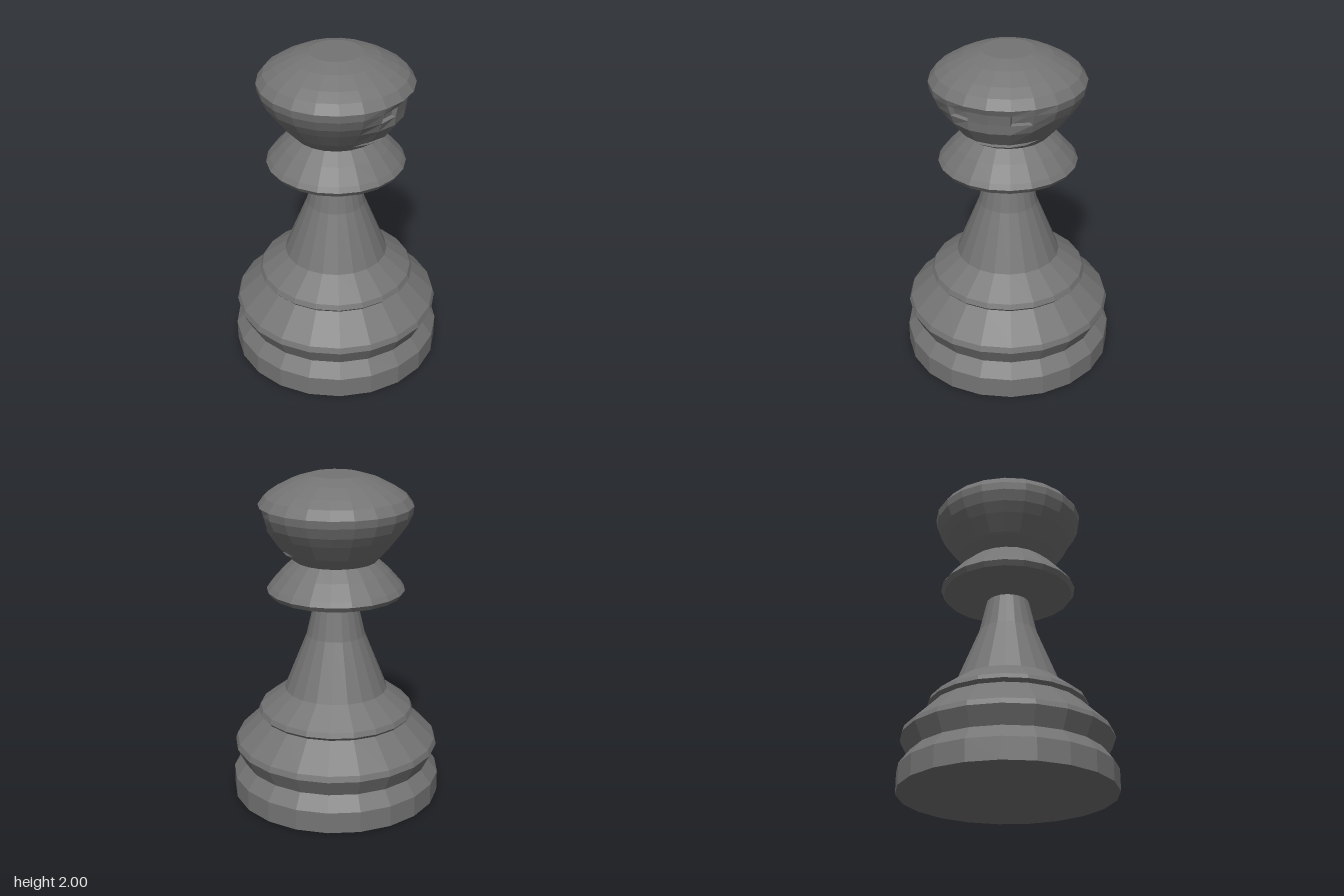
import * as THREE from 'three';

const SIDES = 21;
const STEP = (Math.PI * 2) / SIDES;
const START = Math.PI / 2; // one corner points along +x, the side with the face
const HALF_FACE = 3; // the face covers three segments each way

const dark = new THREE.MeshStandardMaterial({ color: 0x747474, flatShading: true });

function turned(name, profile, first = 0, count = SIDES) {
  const points = profile.map(([r, y]) => new THREE.Vector2(r, y));
  const geometry = new THREE.LatheGeometry(points, count, START + first * STEP, count * STEP);
  const mesh = new THREE.Mesh(geometry, dark);
  mesh.name = name;
  return mesh;
}

// Point on column i of the turned shape
function at(i, r, y) {
  const a = START + i * STEP;
  return new THREE.Vector3(r * Math.sin(a), y, r * Math.cos(a));
}

function quadMesh(name, quads) {
  const positions = [];
  for (const [a, b, c, d] of quads) {
    for (const p of [a, b, c, a, c, d]) positions.push(p.x, p.y, p.z);
  }
  const geometry = new THREE.BufferGeometry();
  geometry.setAttribute('position', new THREE.Float32BufferAttribute(positions, 3));
  geometry.computeVertexNormals();
  const mesh = new THREE.Mesh(geometry, dark);
  mesh.name = name;
  return mesh;
}

// Head rows below the brow: height, plain radius, face radius
const HEAD = [
  [1.49, 0.25, 0.25],
  [1.53, 0.288, 0.315],
  [1.545, 0.302, 0.325],
  [1.56, 0.315, 0.342],
  [1.655, 0.388, 0.408],
  [1.712, 0.427, 0.414],
  [1.775, 0.455, 0.425],
  [1.82, 0.461, 0.444],
  [1.821, 0.461, 0.461],
];
const MOUTH_ROW = 2;
const EYE_ROW = 5;
const BLEND = [1, 1, 0.5, 0]; // the face fades into the plain head by column
const MOUTH = [0.262, 0.268, 0.298]; // mouth depth by column

function facePoint(i, row) {
  const [y, plain, face] = HEAD[row];
  const column = Math.abs(i);
  const inMouth = row === MOUTH_ROW && column < MOUTH.length;
  return at(i, inMouth ? MOUTH[column] : THREE.MathUtils.lerp(plain, face, BLEND[column]), y);
}

// Eye socket: sloped walls leading to a sunken panel
function eyeSocket(corners) {
  const centre = new THREE.Vector3();
  corners.forEach((p) => centre.addScaledVector(p, 0.25));
  const inward = new THREE.Vector3(-centre.x, 0, -centre.z).normalize();
  const back = corners.map((p) => p.clone().lerp(centre, 0.2).addScaledVector(inward, 0.025));
  const walls = corners.map((p, k) => {
    const n = (k + 1) % 4;
    return [p, corners[n], back[n], back[k]];
  });
  return [back, ...walls];
}

function buildFace() {
  const face = new THREE.Group();
  face.name = 'face';
  const skin = [];
  for (let row = 0; row < HEAD.length - 1; row++) {
    for (let i = -HALF_FACE; i < HALF_FACE; i++) {
      const corners = [facePoint(i, row), facePoint(i + 1, row), facePoint(i + 1, row + 1), facePoint(i, row + 1)];
      if (row === EYE_ROW && (i === -2 || i === 1)) {
        face.add(quadMesh(i < 0 ? 'leftEye' : 'rightEye', eyeSocket(corners)));
      } else {
        skin.push(corners);
      }
    }
  }
  face.add(quadMesh('faceSkin', skin));
  return face;
}

export function createModel() {
  const pawn = new THREE.Group();
  pawn.name = 'pawn';

  // Base rings
  pawn.add(turned('base', [
    [0, 0], [0.645, 0], [0.645, 0.13], [0.58, 0.215], [0.632, 0.32],
    [0.62, 0.355], [0.463, 0.51], [0.481, 0.53], [0.468, 0.56], [0.317, 0.675],
  ]));

  // Tapered stem
  pawn.add(turned('stem', [[0.317, 0.675], [0.179, 1.02], [0.132, 1.225]]));

  // Flared collar
  pawn.add(turned('collar', [
    [0.132, 1.225], [0.397, 1.28], [0.417, 1.31], [0.397, 1.34], [0.322, 1.425], [0.25, 1.49],
  ]));

  // Head: domed crown, plain back and carved face
  pawn.add(turned('crown', [
    [0.461, 1.821], [0.422, 1.875], [0.36, 1.917], [0.26, 1.968], [0.155, 2], [0, 2],
  ]));
  pawn.add(turned('headBack', HEAD.map(([y, r]) => [r, y]), HALF_FACE, SIDES - 2 * HALF_FACE));
  pawn.add(buildFace());

  // An odd number of sides is off-centre, so shift it back
  pawn.children.forEach((part) => { part.position.x = -0.0036; });
  return pawn;
}
